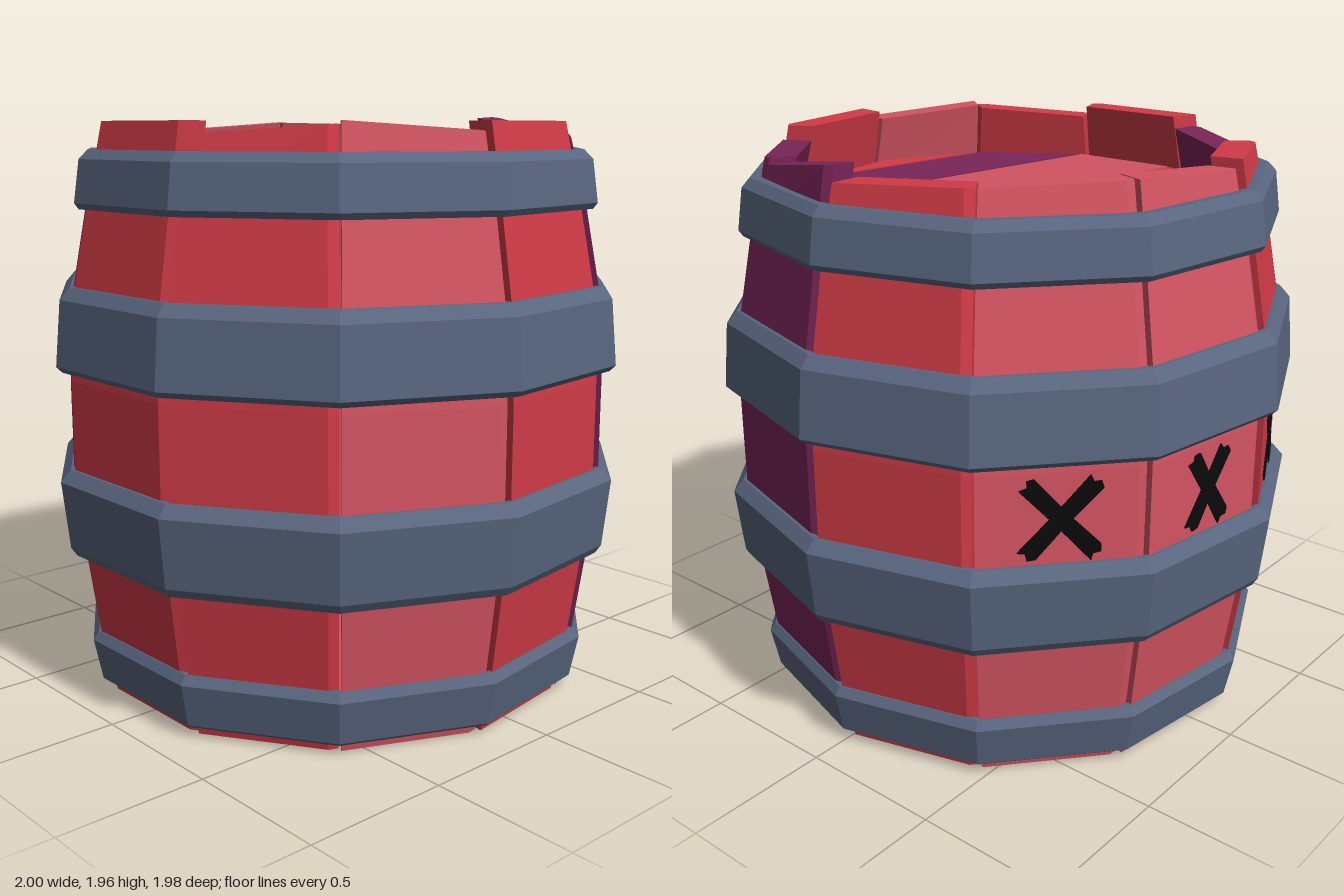
import * as THREE from 'three';

const SIDES = 11, STEP = (Math.PI * 2) / SIDES, HALF = STEP / 2;

const mat = (name, color) => Object.assign(new THREE.MeshStandardMaterial({ color }), { name });

// Faceted copy of a geometry
function flat(geo) {
  const g = geo.index ? geo.toNonIndexed() : geo;
  g.computeVertexNormals();
  return g;
}

function add(parent, name, geo, material) {
  const mesh = new THREE.Mesh(flat(geo), material);
  mesh.name = name;
  parent.add(mesh);
  return mesh;
}

// Corner radius of the barrel body at each height
const BODY = [[0, 0.845], [0.22, 0.895], [0.5, 0.935], [0.8, 0.965], [1.1, 0.965], [1.4, 0.945], [1.66, 0.895], [1.94, 0.835]];

// One stave facing +z: a five-cornered section swept up the body, with a slanted top
function staveGeometry(topLeft, topRight) {
  const gap = 0.007, thick = 0.108, cut = 0.028;
  const rings = BODY.map(([y, r], i) => {
    const corner = (rad, side, inset) => [
      side * (rad * Math.sin(HALF) - gap - inset), rad * Math.cos(HALF)];
    const [lx, lz] = corner(r, -1, 0);
    const [cx, cz] = corner(r, 1, cut);
    const [rx, rz] = corner(r, 1, 0);
    const [ix, iz] = corner(r - thick, 1, 0);
    const pts = [[lx, lz], [cx, cz], [rx, rz - cut * 0.7], [ix, iz], [-ix, iz]];
    const last = i === BODY.length - 1;
    return pts.map(([x, z]) =>
      [x, last ? THREE.MathUtils.mapLinear(x, lx, rx, topLeft, topRight) : y, z]);
  });
  const pos = [];
  const tri = (a, b, c) => pos.push(...a, ...b, ...c);
  for (let i = 0; i < rings.length - 1; i++) {
    for (let j = 0; j < 5; j++) {
      const k = (j + 1) % 5, lo = rings[i], hi = rings[i + 1];
      tri(lo[j], lo[k], hi[k]);
      tri(lo[j], hi[k], hi[j]);
    }
  }
  const bottom = rings[0], top = rings[rings.length - 1];
  for (let j = 1; j < 4; j++) {
    tri(top[0], top[j], top[j + 1]);
    tri(bottom[0], bottom[j + 1], bottom[j]);
  }
  const geo = new THREE.BufferGeometry();
  geo.setAttribute('position', new THREE.Float32BufferAttribute(pos, 3));
  return geo;
}

// Keep the part of a convex polygon where sign * x <= sign * limit
function clip(poly, limit, sign) {
  const out = [];
  poly.forEach((p, i) => {
    const q = poly[(i + 1) % poly.length];
    const a = sign * (limit - p.x), b = sign * (limit - q.x);
    if (a >= 0) out.push(p);
    if (a * b < 0) out.push(p.clone().lerp(q, a / (a - b)));
  });
  return out;
}

// Planked lid, with planks parallel to the stave numbered k
function lid(name, k, y, thick, materials) {
  const group = new THREE.Group();
  group.name = name;
  const outline = Array.from({ length: SIDES }, (_, i) => {
    const a = (i + 0.5) * STEP;
    return new THREE.Vector2(0.708 * Math.cos(a), 0.708 * Math.sin(a));
  });
  const edges = [0.8, 0.465, 0.103, -0.305, -0.6, -0.8];
  materials.forEach((m, i) => {
    const pts = clip(clip(outline, edges[i] - 0.008, 1), edges[i + 1] + 0.008, -1);
    const geo = new THREE.ExtrudeGeometry(new THREE.Shape(pts), { depth: thick, bevelEnabled: false });
    geo.rotateX(-Math.PI / 2);
    add(group, 'lidPlank', geo, m);
  });
  group.position.y = y;
  group.rotation.y = k * STEP - Math.PI / 2;
  return group;
}

// Rough brush stroke, lying flat in xy
function strokeGeometry(length, width) {
  const h = length / 2, w = width / 2;
  const pts = [[-w, -h], [-w * 0.3, -h * 0.92], [w * 0.4, -h], [w, -h * 0.88], [w * 0.85, 0],
    [w, h * 0.93], [w * 0.3, h], [-w * 0.2, h * 0.9], [-w, h * 0.96], [-w * 0.9, 0]];
  const shape = new THREE.Shape(pts.map(([x, y]) => new THREE.Vector2(x, y)));
  return new THREE.ExtrudeGeometry(shape, { depth: 0.006, bevelEnabled: false });
}

export function createModel() {
  const red = mat('red wood', 0xd03b47);
  const pink = mat('pink wood', 0xd35462);
  const purple = mat('purple wood', 0x7a2558);
  const dark = mat('dark wood', 0x452f33);
  const slate = mat('slate metal', 0x59667f);
  const black = mat('black paint', 0x0a0a0a);

  const model = new THREE.Group();
  model.name = 'barrel';
  const body = new THREE.Group();
  body.name = 'barrelBody';
  body.position.z = 0.02;
  model.add(body);

  // Staves, counted from the front towards +x: colour, top height at each edge
  const staves = [
    [red, 1.94, 1.94], [red, 1.9, 1.93], [pink, 1.94, 1.91], [red, 1.94, 1.94],
    [purple, 1.89, 1.91], [purple, 1.89, 1.96], [red, 1.91, 1.93], [pink, 1.93, 1.94],
    [pink, 1.94, 1.91], [red, 1.94, 1.92], [purple, 1.88, 1.9],
  ];
  staves.forEach(([m, left, right], k) => {
    add(body, 'stave', staveGeometry(left, right), m).rotation.y = k * STEP;
  });

  // Metal bands: closed [radius, height] sections, outside going up, inside going down
  const bands = {
    bottomBand: [[0.87, 0.03], [0.89, 0.045], [0.92, 0.19], [0.9, 0.22], [0.88, 0.22], [0.84, 0.03]],
    lowerMiddleBand: [[0.965, 0.5], [0.985, 0.53], [1.01, 0.76], [0.975, 0.8], [0.955, 0.8], [0.925, 0.5]],
    upperMiddleBand: [[0.99, 1.13], [1.01, 1.15], [0.99, 1.37], [0.955, 1.41], [0.935, 1.41], [0.955, 1.13]],
    topBand: [[0.915, 1.66], [0.93, 1.68], [0.91, 1.82], [0.88, 1.85], [0.845, 1.85], [0.885, 1.66]],
  };
  for (const [name, section] of Object.entries(bands)) {
    const pts = [...section, section[0]].map(([r, y]) => new THREE.Vector2(r, y));
    add(body, name, new THREE.LatheGeometry(pts, SIDES, HALF), slate);
  }

  // Recessed lids at both ends
  body.add(lid('topLid', -3, 1.71, 0.05, [pink, red, pink, purple, red]));
  body.add(lid('bottomLid', -1, 0.06, 0.05, [dark, red, pink, red, red]));

  // Painted crosses on three neighbouring staves: stave number, width
  for (const [k, width] of [[-2, 0.22], [-3, 0.16], [-4, 0.23]]) {
    const cross = new THREE.Group();
    cross.name = 'paintedCross';
    cross.rotation.y = k * STEP;
    const tilt = Math.atan2(width, 0.25);
    for (const side of [-1, 1]) {
      const stroke = add(cross, 'crossStroke', strokeGeometry(Math.hypot(width, 0.25), 0.06), black);
      stroke.position.set(0, 0.95, 0.965 * Math.cos(HALF) + (side > 0 ? 0.002 : 0.001));
      stroke.rotation.z = side * tilt;
    }
    body.add(cross);
  }
  return model;
}
